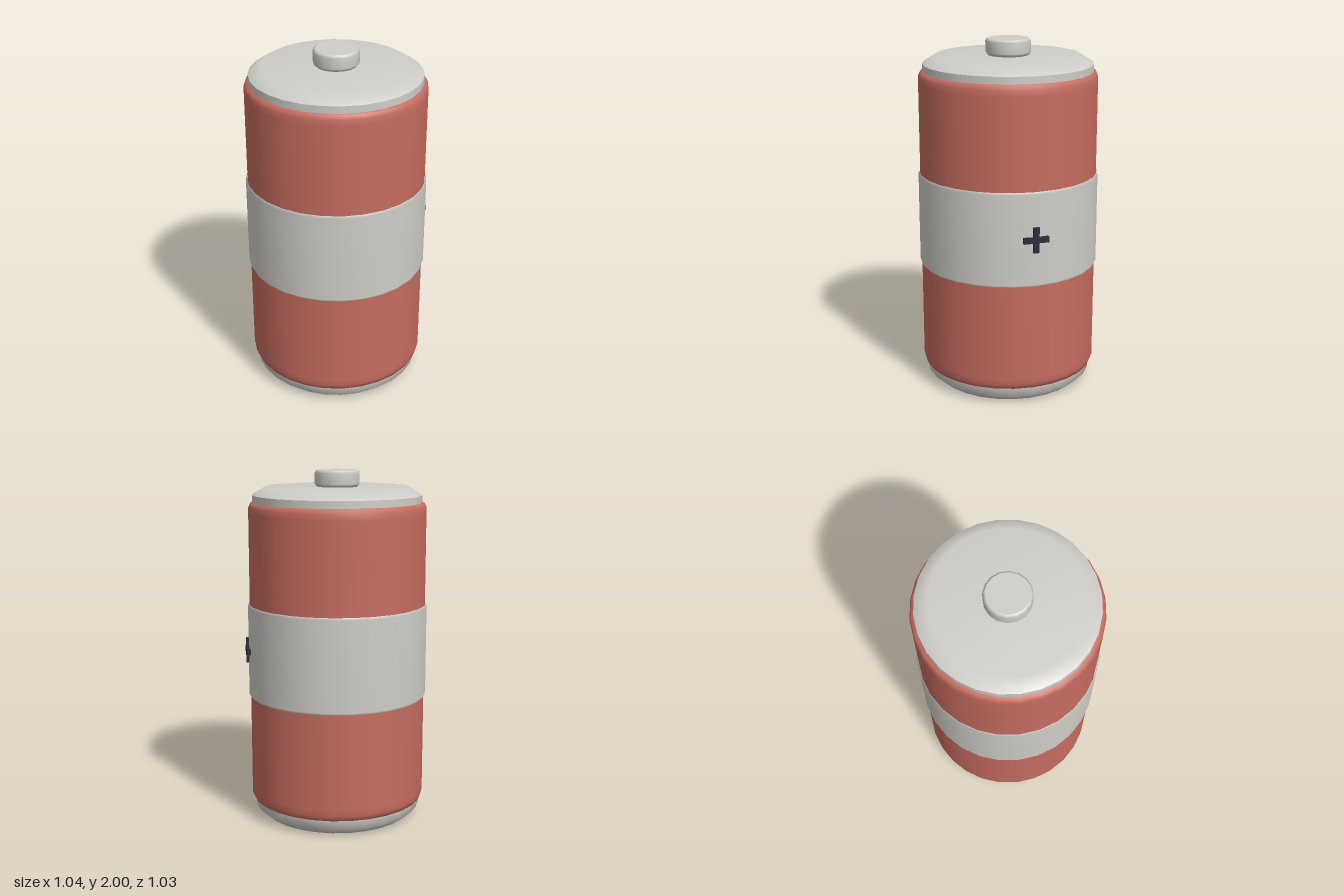
import * as THREE from 'three';
import { mergeGeometries } from 'three/addons/utils/BufferGeometryUtils.js';

const AXIS_X = -0.008;

function material(name, color) {
  const m = new THREE.MeshStandardMaterial({ color });
  m.name = name;
  return m;
}

// Revolves smooth profile runs (bottom to top); separate runs meet at sharp edges.
function turned(name, mat, sides, ...runs) {
  const parts = runs.map((run) =>
    new THREE.LatheGeometry(run.map(([r, y]) => new THREE.Vector2(r, y)), sides));
  const mesh = new THREE.Mesh(mergeGeometries(parts), mat);
  mesh.name = name;
  mesh.position.x = AXIS_X;
  return mesh;
}

export function createModel() {
  const group = new THREE.Group();
  group.name = 'battery';
  const grey = material('light grey', 0xcfcdc7);
  const red = material('brick red', 0xc66c60);
  const dark = material('dark slate', 0x2b2d37);

  // Painted casing with softened ends
  group.add(turned('casing', red, 28,
    [[0.475, 0.09], [0.495, 0.097], [0.505, 0.125], [0.505, 0.16]],
    [[0.505, 0.16], [0.505, 1.76]],
    [[0.505, 1.76], [0.505, 1.795], [0.495, 1.816], [0.475, 1.823]]));

  // Open sleeve around the middle, tapered slightly at its rims
  group.add(turned('labelBand', grey, 28,
    [[0.509, 0.71], [0.515, 0.722], [0.515, 1.234], [0.509, 1.246]]));

  // End caps
  group.add(turned('bottomCap', grey, 28,
    [[0, 0], [0.43, 0], [0.481, 0.045], [0.481, 0.1]]));
  group.add(turned('topCap', grey, 28,
    [[0.481, 1.81], [0.481, 1.862]],
    [[0.481, 1.862], [0.41, 1.907], [0, 1.907]]));

  // Terminal button
  group.add(turned('terminal', grey, 16,
    [[0.113, 1.905], [0.122, 1.914], [0.128, 1.925], [0.128, 1.985], [0.122, 1.996], [0.115, 2]],
    [[0.115, 2], [0, 2]]));

  // Raised plus sign on the left side
  const a = 0.072, w = 0.016;
  const cross = new THREE.Shape([
    [-w, -a], [w, -a], [w, -w], [a, -w], [a, w], [w, w],
    [w, a], [-w, a], [-w, w], [-a, w], [-a, -w], [-w, -w],
  ].map(([x, y]) => new THREE.Vector2(x, y)));
  const plus = new THREE.Mesh(
    new THREE.ExtrudeGeometry(cross, { depth: 0.021, bevelEnabled: false }), dark);
  plus.name = 'plusSign';
  plus.rotation.y = Math.PI / 2;
  plus.position.set(0.5, 0.98, 0);
  group.add(plus);

  return group;
}
